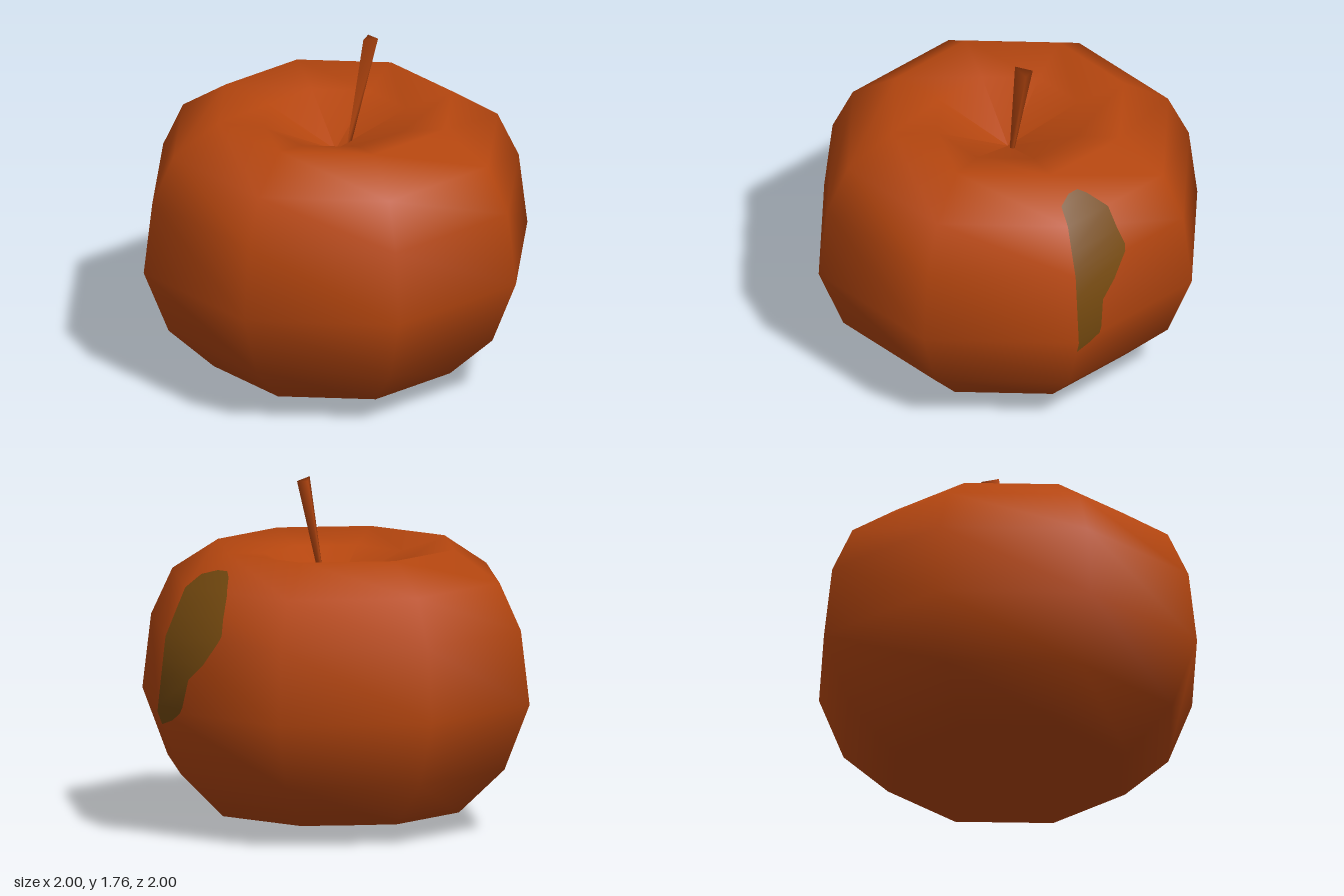
import * as THREE from 'three';

// Body profile, [radius, height], from the underside up over the rim into the dip
const PROFILE = [
  [0, 0], [0.635, 0.095], [0.87, 0.32], [1, 0.65], [0.955, 1.02],
  [0.845, 1.255], [0.61, 1.41], [0.37, 1.35], [0, 1.18],
];

// Radius of the outer skin at a given height
function radiusAt(y) {
  for (let i = 0; i < 6; i++) {
    const [r0, y0] = PROFILE[i], [r1, y1] = PROFILE[i + 1];
    if (y >= y0 && y <= y1) return r0 + (r1 - r0) * (y - y0) / (y1 - y0);
  }
  return 0;
}

// Triangular stalk, thin at the base and wide at the tip
function stemGeometry() {
  const top = [[0.14, 1.76, 0.015], [0.225, 1.745, -0.01], [0.19, 1.75, -0.06]];
  const base = [[0.056, 1.2, 0.012], [0.08, 1.2, 0.004], [0.068, 1.2, -0.008]];
  const index = [3, 4, 5, 2, 1, 0];
  for (let i = 0; i < 3; i++) {
    const j = (i + 1) % 3;
    index.push(i, j, j + 3, i, j + 3, i + 3);
  }
  const g = new THREE.BufferGeometry();
  g.setAttribute('position', new THREE.Float32BufferAttribute([...base, ...top].flat(), 3));
  g.setIndex(index);
  g.computeVertexNormals();
  return g;
}

// Thin patch lying on the facet just behind the +x ridge
function patchGeometry() {
  // [height, near z, far z]
  const rows = [
    [0.585, 0, -0.005], [0.61, 0, -0.07], [0.65, 0, -0.13], [0.68, 0, -0.142],
    [0.82, 0, -0.16], [0.9, 0, -0.235], [1.02, 0, -0.31], [1.05, 0, -0.315],
    [1.13, 0, -0.285], [1.25, 0, -0.25], [1.255, 0, -0.245], [1.315, 0, -0.16],
    [1.338, -0.06, -0.115],
  ];
  const pos = [], nor = [], index = [];
  rows.forEach(([y, z0, z1], i) => {
    for (const z of [z0, z1]) {
      const x = radiusAt(y) + z * Math.tan(Math.PI / 8);
      const n = new THREE.Vector3(x, (y - 0.75) * 1.3, z).normalize();
      pos.push(x + n.x * 0.005, y + n.y * 0.005, z);
      nor.push(n.x, n.y, n.z);
    }
    if (i) {
      const a = 2 * i - 2;
      index.push(a, a + 1, a + 3, a, a + 3, a + 2);
    }
  });
  const g = new THREE.BufferGeometry();
  g.setAttribute('position', new THREE.Float32BufferAttribute(pos, 3));
  g.setAttribute('normal', new THREE.Float32BufferAttribute(nor, 3));
  g.setIndex(index);
  return g;
}

export function createModel() {
  const skin = new THREE.MeshStandardMaterial({ color: 0xb5460f });
  skin.name = 'rusty orange';
  const olive = new THREE.MeshStandardMaterial({ color: 0x74490f });
  olive.name = 'olive brown';

  const model = new THREE.Group();
  model.name = 'apple';
  const add = (name, geometry, material) => {
    const mesh = new THREE.Mesh(geometry, material);
    mesh.name = name;
    model.add(mesh);
  };

  add('body', new THREE.LatheGeometry(PROFILE.map(([r, y]) => new THREE.Vector2(r, y)), 8), skin);
  add('stem', stemGeometry(), skin);
  add('bruisePatch', patchGeometry(), olive);
  return model;
}
